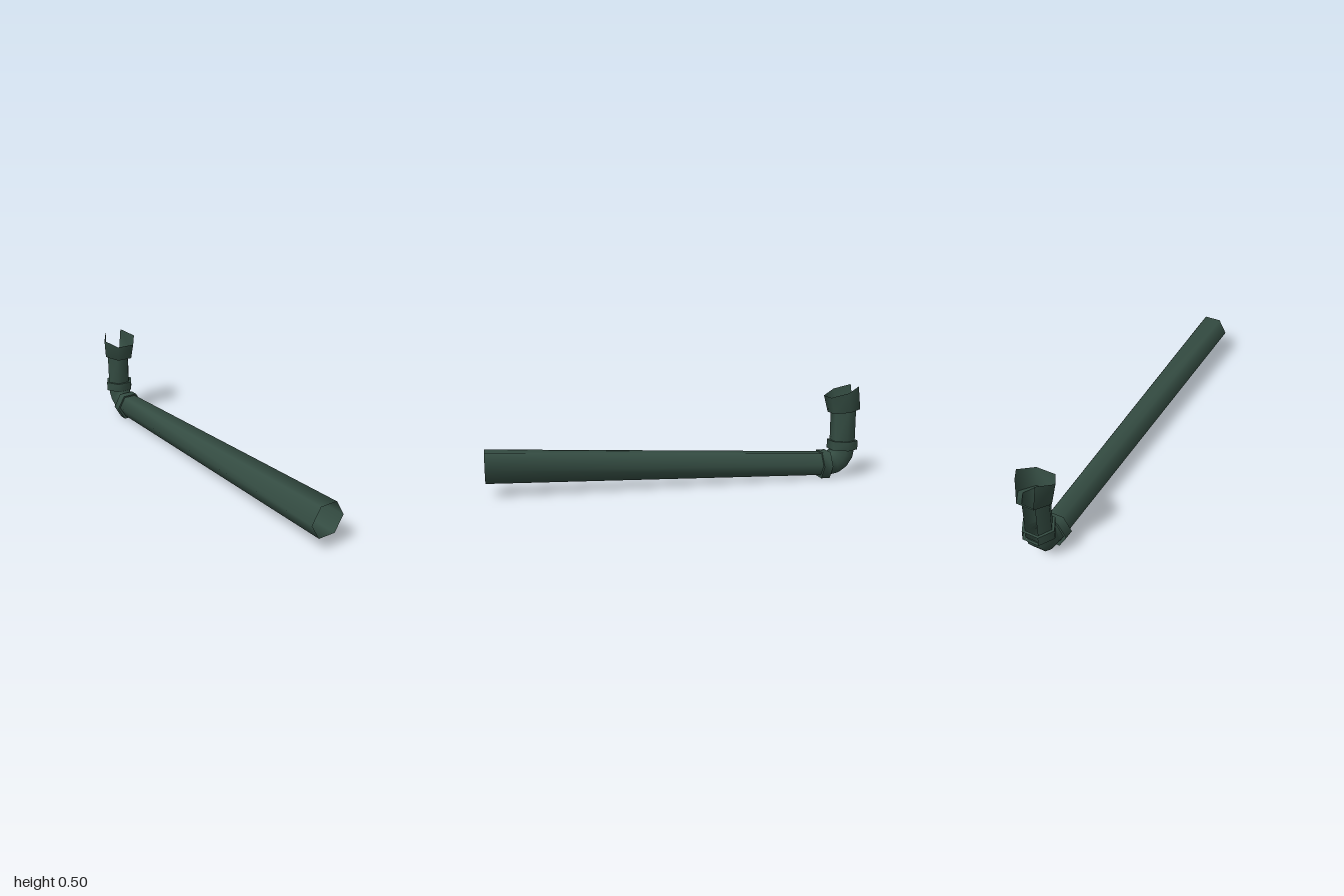
import * as THREE from 'three';
import { toCreasedNormals } from 'three/addons/utils/BufferGeometryUtils.js';

const SIDES = 6;
const UP = [1, 0];      // ring's second axis as [y, z]
const FORWARD = [0, 1];

// One hexagonal cross-section: first axis is x, second axis lies in the yz plane.
const ring = (x, y, z, r, axis) => ({ x, y, z, r, axis });

// Skins a row of rings; bands listed in openBands have no wall on the rear side.
function sweep(rings, openBands = []) {
  const positions = [], index = [];
  for (const { x, y, z, r, axis } of rings) {
    for (let i = 0; i < SIDES; i++) {
      const a = (i / SIDES) * Math.PI * 2;
      const v = r * Math.sin(a);
      positions.push(x + r * Math.cos(a), y + v * axis[0], z + v * axis[1]);
    }
  }
  for (let b = 0; b < rings.length - 1; b++) {
    for (let i = 0; i < SIDES; i++) {
      if (i === 4 && openBands.includes(b)) continue;
      const j = (i + 1) % SIDES;
      const p = b * SIDES + i, q = b * SIDES + j;
      const s = p + SIDES, t = q + SIDES;
      index.push(p, s, q, q, s, t);
    }
  }
  const geometry = new THREE.BufferGeometry();
  geometry.setAttribute('position', new THREE.Float32BufferAttribute(positions, 3));
  geometry.setIndex(index);
  return toCreasedNormals(geometry, 1.2);
}

export function createModel() {
  const group = new THREE.Group();
  const paint = new THREE.MeshStandardMaterial({ color: 0x344c42, side: THREE.DoubleSide });
  paint.name = 'dark green paint';

  const add = (name, rings, openBands) => {
    const mesh = new THREE.Mesh(sweep(rings, openBands), paint);
    mesh.name = name;
    group.add(mesh);
  };

  const PIPE = 0.068, COLLAR = 0.083;
  const LOW = 0.075, BACK = -0.917; // heights and depths of the pipe axes

  // Long tapering pipe, open at the front
  add('longPipe', [
    ring(-0.016, 0.152, 1, 0.09, UP),
    ring(0, LOW, -0.83, PIPE, UP),
  ]);

  // Collar between the long pipe and the elbow
  add('lowerCollar', [
    ring(0.001, LOW, -0.783, PIPE, UP),
    ring(0.001, 0.072, -0.783, COLLAR, UP),
    ring(0.001, 0.072, -0.832, COLLAR, UP),
    ring(0.001, LOW, -0.832, PIPE, UP),
  ]);

  // Elbow turning from backwards to upwards
  const bend = -0.83 - BACK;
  const elbow = [];
  for (let k = 0; k <= 4; k++) {
    const a = (k / 4) * Math.PI / 2;
    elbow.push(ring(0, LOW + bend - bend * Math.cos(a), -0.83 - bend * Math.sin(a),
      PIPE, [Math.cos(a), Math.sin(a)]));
  }
  add('elbow', elbow);

  // Upright pipe, open along the rear
  add('uprightPipe', [
    ring(0, LOW + bend, BACK, PIPE, FORWARD),
    ring(0, 0.367, BACK, PIPE, FORWARD),
  ], [0]);

  // Collar around the foot of the upright pipe
  add('upperCollar', [
    ring(0.001, 0.153, BACK, PIPE, FORWARD),
    ring(0.001, 0.153, BACK, COLLAR, FORWARD),
    ring(0.001, 0.202, BACK, COLLAR, FORWARD),
    ring(0.001, 0.202, BACK, PIPE, FORWARD),
  ], [1]);

  // Tilted flaring mouth with its floor
  add('mouth', [
    ring(0, 0.367, BACK, PIPE, FORWARD),
    ring(0.006, 0.366, BACK, 0.087, [-0.14, 1]),
    ring(0.005, 0.474, -0.898, 0.1, [-0.335, 0.9]),
  ], [1]);

  return group;
}
